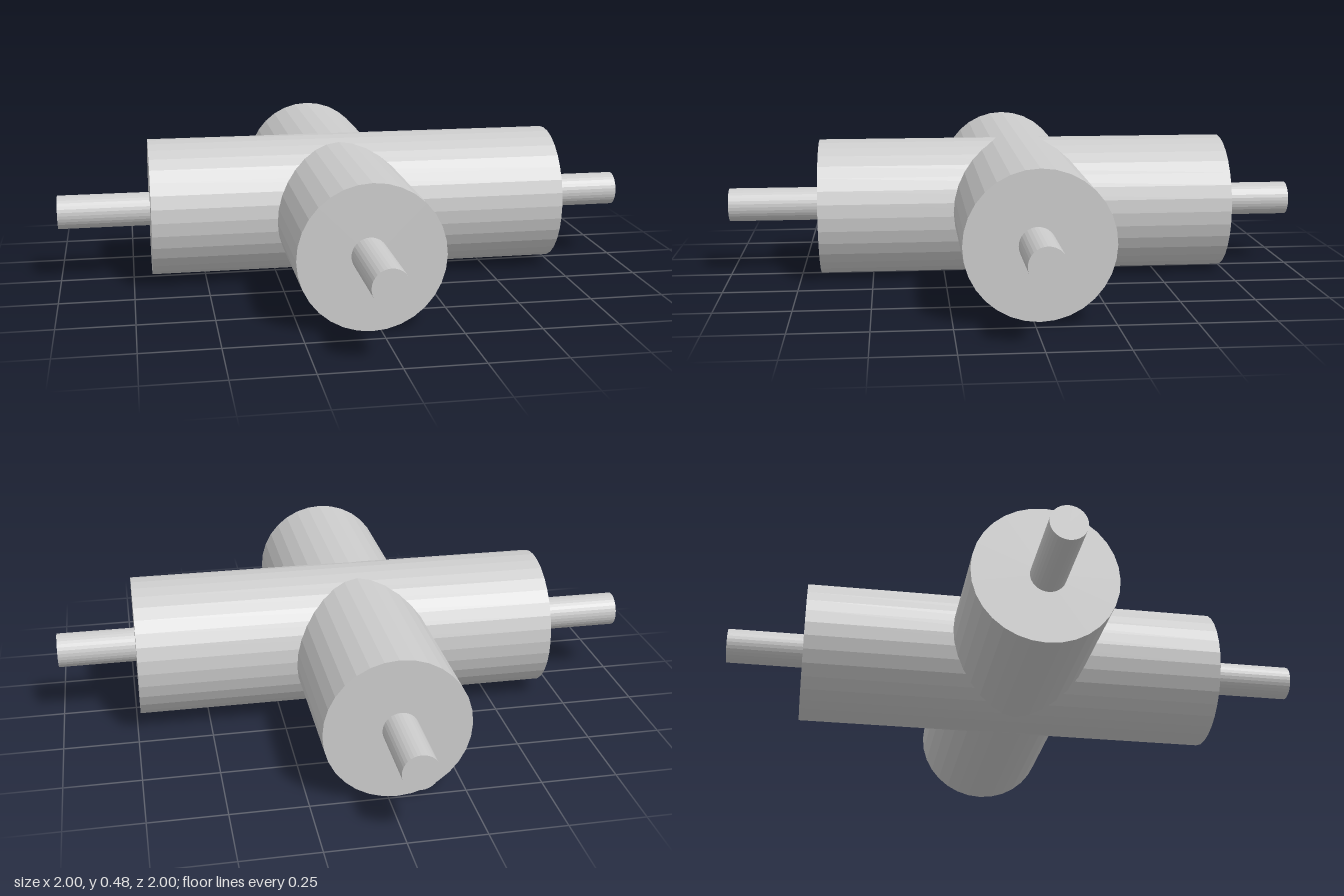
import * as THREE from 'three';

const material = new THREE.MeshStandardMaterial({ color: 0xcccccc, flatShading: true });
const SIDES = 32;
const BODY_RADIUS = 0.236;
const ROD_RADIUS = 0.058;
const INSET = 0.03; // how far a rod sinks into its body

// Faceted cylinder running along x or z between two coordinates; a and b are the centre on the other axes
function bar(name, axis, radius, from, to, across, y) {
  const geometry = new THREE.CylinderGeometry(radius, radius, to - from, SIDES);
  if (axis === 'x') geometry.rotateZ(-Math.PI / 2);
  else geometry.rotateX(Math.PI / 2);
  const mesh = new THREE.Mesh(geometry, material);
  mesh.name = name;
  const mid = (from + to) / 2;
  if (axis === 'x') mesh.position.set(mid, y, across);
  else mesh.position.set(across, y, mid);
  return mesh;
}

export function createModel() {
  const model = new THREE.Group();
  model.name = 'crossedRollers';

  // Two thick bodies crossing each other, the sideways one a touch higher
  model.add(bar('sidewaysBody', 'x', BODY_RADIUS, -0.686, 0.737, -0.014, 0.251));
  model.add(bar('lengthwiseBody', 'z', BODY_RADIUS, -0.742, 0.681, -0.029, 0.238));

  // Thin rods out of the four ends, slightly off centre
  model.add(bar('rightRod', 'x', ROD_RADIUS, -1, -0.686 + INSET, -0.007, 0.247));
  model.add(bar('leftRod', 'x', ROD_RADIUS, 0.737 - INSET, 1, -0.006, 0.252));
  model.add(bar('frontRod', 'z', ROD_RADIUS, 0.681 - INSET, 1, -0.037, 0.246));
  model.add(bar('backRod', 'z', ROD_RADIUS, -1, -0.742 + INSET, -0.037, 0.238));

  return model;
}
